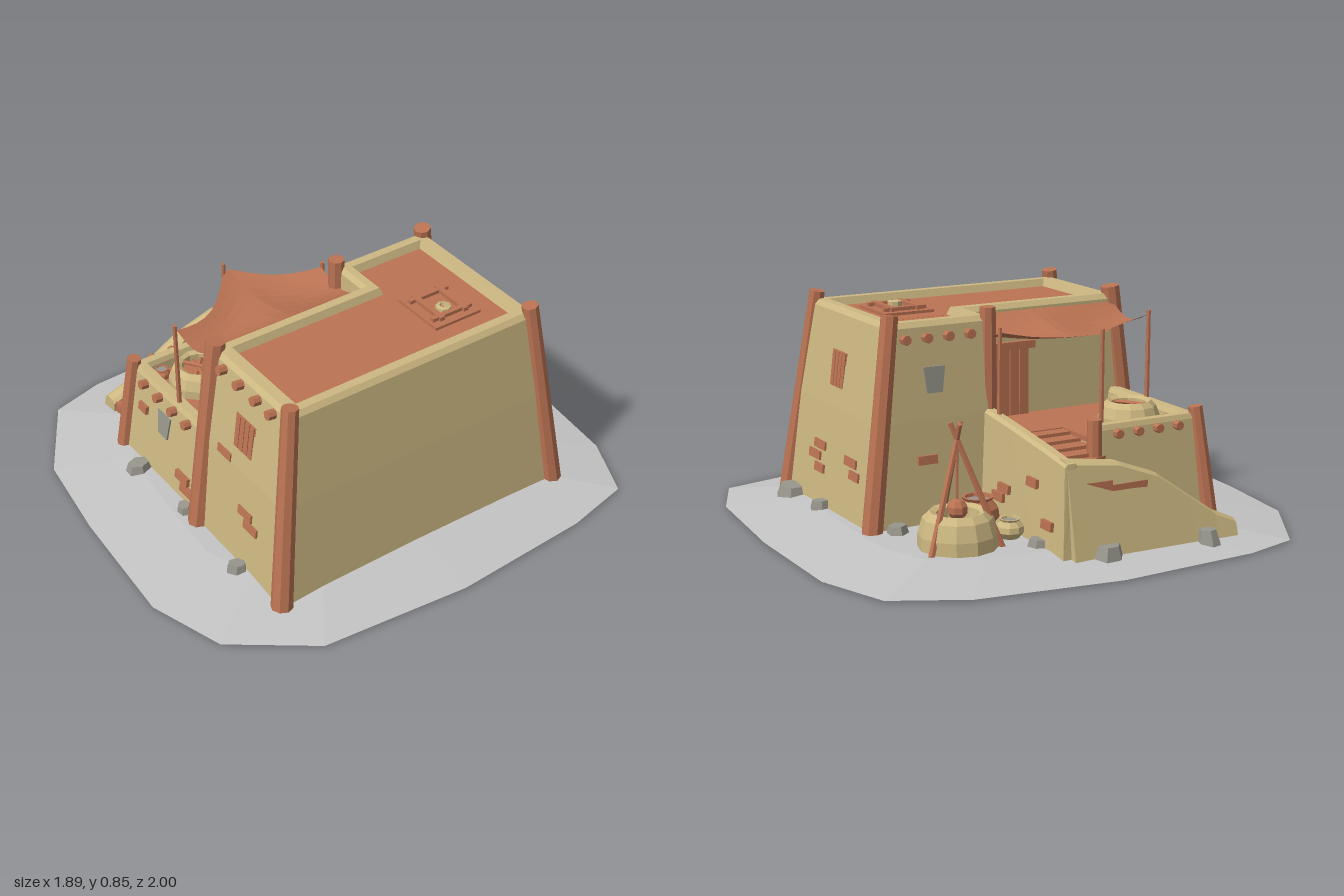
import * as THREE from 'three';

const mat = (name, color, side = THREE.FrontSide) => {
  const m = new THREE.MeshStandardMaterial({ color, flatShading: true, side });
  m.name = name;
  return m;
};

export function createModel() {
  const root = new THREE.Group();
  const clay = mat('sand clay', 0xcdb882, THREE.DoubleSide);
  const wood = mat('terracotta', 0xbb7353, THREE.DoubleSide);
  const stone = mat('grey stone', 0x98968c);
  const earth = mat('pale ground', 0xc4c4c4, THREE.DoubleSide);

  const add = (name, geo, m, x = 0, y = 0, z = 0) => {
    const mesh = new THREE.Mesh(geo, m);
    mesh.name = name;
    mesh.position.set(x, y, z);
    root.add(mesh);
    return mesh;
  };
  const box = (name, m, w, h, d, x, y, z) => add(name, new THREE.BoxGeometry(w, h, d), m, x, y, z);

  // Joins rings of equal point count; optionally closes both ends with fans
  const loft = (name, m, rings, cap = true) => {
    const p = [], n = rings[0].length;
    for (let k = 0; k + 1 < rings.length; k++) {
      for (let i = 0; i < n; i++) {
        const a = rings[k][i], b = rings[k][(i + 1) % n], c = rings[k + 1][(i + 1) % n], d = rings[k + 1][i];
        p.push(...a, ...b, ...c, ...a, ...c, ...d);
      }
    }
    if (cap) {
      const f = rings[0], l = rings[rings.length - 1];
      for (let i = 1; i + 1 < n; i++) p.push(...l[0], ...l[i], ...l[i + 1], ...f[0], ...f[i + 1], ...f[i]);
    }
    const g = new THREE.BufferGeometry();
    g.setAttribute('position', new THREE.Float32BufferAttribute(p, 3));
    g.computeVertexNormals();
    return add(name, g, m);
  };
  const level = (y, pts) => pts.map(([x, z]) => [x, y, z]);
  const rect = (x0, x1, z0, z1) => [[x0, z0], [x0, z1], [x1, z1], [x1, z0]];

  // Round timber between two points
  const rod = (name, a, b, r0, r1 = r0, sides = 8, m = wood) => {
    const A = new THREE.Vector3(...a), B = new THREE.Vector3(...b), d = B.clone().sub(A);
    const mesh = add(name, new THREE.CylinderGeometry(r1, r0, d.length(), sides), m);
    mesh.position.copy(A).add(B).multiplyScalar(0.5);
    mesh.quaternion.setFromUnitVectors(new THREE.Vector3(0, 1, 0), d.normalize());
    return mesh;
  };
  const lathe = (name, m, pts, x, y, z, seg = 12) =>
    add(name, new THREE.LatheGeometry(pts.map(([r, h]) => new THREE.Vector2(r, h)), seg), m, x, y, z);

  // Ground: shallow mound
  const rim = [[-.44, -1], [-.73, -.9], [-.87, -.63], [-.95, -.07], [-.92, .5], [-.86, .72], [-.53, .92], [-.15, .97],
    [.37, 1], [.67, .9], [.89, .6], [.945, 0], [.91, -.57], [.85, -.84], [.6, -.95], [.08, -1]];
  const shrink = (s) => rim.map(([x, z]) => [x * s, z * s]);
  loft('ground', earth, [level(.01, rim), level(.05, shrink(.7)), level(.056, shrink(.01))], false);

  // Tall L-shaped house with a rounded parapet
  const plan = (l, b, r, f, ix, iz) => [[l, b], [l, iz], [ix, iz], [ix, f], [r, f], [r, b]];
  loft('houseWalls', clay, [
    level(.03, plan(-.13, -.665, .665, .635, .09, -.13)),
    level(.45, plan(-.115, -.62, .625, .59, .085, -.135)),
    level(.80, plan(-.095, -.565, .585, .535, .08, -.14)),
    level(.82, plan(-.08, -.55, .57, .52, .095, -.155)),
    level(.82, plan(-.045, -.515, .535, .475, .13, -.185)),
    level(.78, plan(-.03, -.5, .52, .46, .145, -.2)),
  ], false);
  box('roofFront', wood, .41, .02, .98, .335, .78, -.02);
  box('roofBack', wood, .57, .02, .32, .245, .7795, -.35);

  // Roof hatch
  box('hatch', wood, .23, .012, .21, .325, .795, -.32);
  for (const s of [-1, 1]) {
    box('hatchBar', wood, .02, .02, .18, .325 + s * .07, .805, -.32);
    box('hatchBatten', wood, .18, .018, .022, .325, .808, -.32 + s * .055);
  }
  lathe('hatchKnob', clay, [[.03, 0], [.03, .02], [.015, .024], [.012, .01]], .36, .80, -.31, 8);

  // Corner posts
  [[[.655, .03, .625], [.575, .85, .525], .042, .032], [[.655, .03, -.655], [.575, .85, -.545], .042, .032],
    [[-.125, .03, -.655], [-.075, .85, -.545], .042, .034], [[.1, .03, .635], [.1, .85, .525], .042, .038],
    [[-.085, .3, -.14], [-.085, .85, -.14], .036, .032], [[-.485, .03, .615], [-.45, .46, .565], .034, .028],
    [[-.45, .2, .11], [-.45, .46, .11], .032, .028]].forEach(([a, b, r0, r1]) => rod('cornerPost', a, b, r0, r1));

  // Lower house and terrace
  loft('terraceWalls', clay, [level(.03, rect(-.47, .12, .13, .59)), level(.36, rect(-.44, .12, .13, .54))]);
  box('terraceBase', clay, .3, .33, .28, -.04, .195, .01);
  box('terraceFloor', wood, .53, .02, .4, -.165, .365, .325);
  box('terraceLanding', wood, .3, .02, .27, -.05, .3645, .01);
  const parapet = (o, t, i) => [level(.03, o), level(.415, t), level(.435, i)];
  loft('frontParapet', clay, parapet(rect(-.485, .11, .5, .62), rect(-.455, .1, .515, .57), rect(-.45, .1, .525, .56)));
  loft('sideParapet', clay, parapet(rect(-.485, -.41, .1, .6), rect(-.462, -.415, .11, .565), rect(-.455, -.422, .11, .56)));

  // Stairs: straight flight, corner winders, upper flight
  for (let i = 0; i < 6; i++) {
    const h = .085 + i * .034;
    box('lowerStep', wood, .25, h - .03, .066, -.59, (h + .03) / 2, .51 - i * .062);
  }
  const pivot = [-.46, .17];
  [[[-.72, .02], [-.72, .17], pivot], [[-.58, -.13], [-.71, -.13], [-.72, .02], pivot], [[-.45, -.13], [-.58, -.13], pivot]]
    .forEach((s, i) => loft('winderStep', wood, [level(.04, s), level(.285 + i * .018, s)]));
  for (let i = 0; i < 4; i++) {
    const h = .335 + i * .012;
    box('upperStep', wood, .065, h - .04, .29, -.425 + i * .067, (h + .04) / 2, .02);
  }

  // Stair walls swept from cross-sections
  const side = [[.55, .09], [.46, .13], [.36, .2], [.22, .3], [.06, .36], [-.16, .39]].map(([z, h]) => {
    const lean = .065 * h / .38;
    return [[-.765, .03, z], [-.765 + lean, h - .012, z], [-.745 + lean, h, z], [-.71 + lean, h, z], [-.695 + lean, h - .012, z], [-.685, .03, z]];
  });
  loft('stairSideWall', clay, side);
  const back = [[-.735, .38], [-.55, .405], [-.3, .44], [-.09, .465]].map(([x, h], i) => {
    const xt = i ? x : x + .035;
    return [[x, .03, -.195], [xt, h - .012, -.17], [xt, h, -.158], [xt, h, -.128], [xt, h - .012, -.115], [x, .03, -.11]];
  });
  loft('stairBackWall', clay, back);

  // Pieces set on sloped walls: surface offset and yaw per wall
  const walls = {
    front: [0, .13, (u, y) => [u, y, .635 - .122 * y]],
    back: [Math.PI, .122, (u, y) => [u, y, -.665 + .122 * y]],
    left: [-Math.PI / 2, .045, (u, y) => [-.132 + .044 * y, y, u]],
    low: [0, .13, (u, y) => [u, y, .623 - .128 * y]],
    stair: [Math.PI, .07, (u, y) => [u, y, -.196 + .066 * y]],
  };
  const onWall = (name, m, wall, geo, u, y) => {
    const [yaw, tilt, at] = walls[wall];
    const mesh = add(name, geo, m, ...at(u, y));
    mesh.rotation.set(-tilt, yaw, 0, 'YXZ');
    return mesh;
  };

  // Exposed bricks
  [['front', .24, .46, .085], ['front', .4, .285, .085], ['front', .44, .245, .085], ['low', -.35, .29, .055],
    ['low', -.045, .15, .085], ['low', -.01, .11, .08], ['back', .36, .28, .1], ['back', .4, .235, .1], ['back', .35, .19, .08],
    ['back', .08, .27, .1], ['back', .04, .225, .08], ['left', -.42, .3, .08], ['stair', -.5, .27, .07],
    ['stair', -.3, .2, .08], ['stair', -.26, .16, .08], ['stair', -.62, .14, .07]]
    .forEach(([w, u, y, s]) => onWall('brick', wood, w, new THREE.BoxGeometry(s, .034, .03), u, y));

  // Shuttered windows
  for (const [w, u] of [['front', .345], ['back', .27]]) {
    onWall('windowPanel', wood, w, new THREE.BoxGeometry(.125, .145, .008), u, .59);
    for (let i = -1.5; i < 2; i++) onWall('shutterPlank', wood, w, new THREE.BoxGeometry(.025, .135, .018), u + i * .029, .59);
  }
  // Tapered stone windows
  const slot = new THREE.Shape([[-.032, -.05], [.032, -.05], [.045, .05], [-.045, .05]].map(([x, y]) => new THREE.Vector2(x, y)));
  const slotGeo = new THREE.ExtrudeGeometry(slot, { depth: .007, bevelEnabled: false });
  onWall('slotWindow', stone, 'low', slotGeo, -.205, .295);
  onWall('slotWindow', stone, 'left', slotGeo, -.38, .6);

  // Beam ends
  const beam = () => new THREE.CylinderGeometry(.019, .019, .06, 7).rotateX(Math.PI / 2);
  for (const u of [.18, .29, .4, .495]) onWall('beamEnd', wood, 'front', beam(), u, .78);
  for (const u of [-.35, -.245, -.14, -.04]) onWall('beamEnd', wood, 'low', beam(), u, .4);
  for (const u of [-.5, -.41, -.32, -.23]) onWall('beamEnd', wood, 'left', beam(), u, .76);
  for (const z of [.2, .29, .38, .47]) rod('beamEnd', [-.49, .4, z], [-.44, .4, z], .018, .018, 7);

  // Terrace door
  for (let i = 0; i < 4; i++) box('doorPlank', wood, .02, .27, .04, .078, .505, -.02 + i * .043);
  box('doorLintel', wood, .035, .03, .22, .075, .655, .045);

  // Awning: sagging cloth with scalloped free edges
  const cloth = new THREE.PlaneGeometry(1, 1, 8, 14), cp = cloth.attributes.position;
  for (let i = 0; i < cp.count; i++) {
    const u = cp.getX(i) + .5, v = .5 - cp.getY(i), first = v < .45, t = first ? v / .45 : (v - .45) / .55;
    const s = Math.sin(Math.PI * t);
    const lx = first ? -.18 - .21 * t + .025 * s : -.39 + .25 * t + .07 * s;
    const lz = first ? -.135 + .315 * t : .18 + .365 * t;
    const rz = -.135 + .66 * v;
    cp.setXYZ(i, lx + (.09 - lx) * u, .765 + .03 * u - .02 * s * (1 - u) - .045 * Math.sin(Math.PI * u), lz + (rz - lz) * u);
  }
  cloth.computeVertexNormals();
  add('awning', cloth, wood);
  for (const [x, z] of [[-.39, .18], [-.145, .55], [-.18, -.14]]) rod('awningPole', [x + .005, .36, z], [x, .785, z], .011, .009, 6);

  // Terrace oven and pots
  lathe('oven', clay, [[.12, 0], [.12, .04], [.105, .08], [.085, .1], [.068, .09], [.068, .03]], -.27, .37, .38);
  add('ovenEmbers', new THREE.CylinderGeometry(.07, .07, .01, 12), wood, -.27, .425, .38);
  for (let i = 0; i < 3; i++) rod('ovenStick', [-.32, .44 + i * .008, .34 + i * .04], [-.22, .44 + i * .008, .43 - i * .04], .009, .009, 5);
  const pot = (x, y, z, r, m) => {
    lathe('pot', m, [[.6, 0], [1, .5], [.95, .9], [.65, 1.25], [.75, 1.4], [.6, 1.4], [.55, 1.1]].map(([a, b]) => [a * r, b * r]), x, y, z, 9);
    add('potContents', new THREE.CylinderGeometry(r * .62, r * .62, .006, 9), stone, x, y + r * 1.2, z);
  };
  pot(-.38, .37, .485, .034, wood);
  pot(-.32, .37, .51, .018, wood);
  pot(-.24, .05, -.27, .083, wood);
  pot(-.43, .05, -.24, .054, clay);
  pot(-.345, .05, -.215, .026, wood);

  // Fire pit with tripod
  lathe('firePit', clay, [[.15, 0], [.148, .07], [.13, .13], [.105, .155], [.08, .145], [.072, .05]], -.42, .03, -.45);
  add('pitFloor', new THREE.CylinderGeometry(.08, .08, .01, 12), stone, -.42, .1, -.45);
  [[-.24, -.44], [-.51, -.305], [-.495, -.605]].forEach(([x, z]) => {
    const k = 1.14;
    rod('tripodLeg', [x, .02, z], [x + (-.425 - x) * k, .02 + .43 * k, z + (-.455 - z) * k], .014, .01, 6);
  });
  rod('hangingRope', [-.425, .45, -.455], [-.425, .2, -.455], .006, .006, 5);
  add('hangingPot', new THREE.SphereGeometry(.04, 8, 5), wood, -.425, .19, -.455);

  // Scattered rocks
  [[.55, -.69, .085], [.28, -.68, .055], [-.17, -.57, .065], [-.57, -.2, .055], [-.76, -.02, .075], [-.78, .4, .055],
    [-.3, .66, .065], [.02, .645, .045], [.41, .66, .05]].forEach(([x, z, r], i) => {
    const rock = add('rock', new THREE.CylinderGeometry(r * .65, r, .07, 6), stone, x, .045, z);
    rock.scale.z = .8;
    rock.rotation.set(.08 * Math.sin(i * 2), i * 1.3, .08 * Math.cos(i * 3));
  });

  return root;
}
